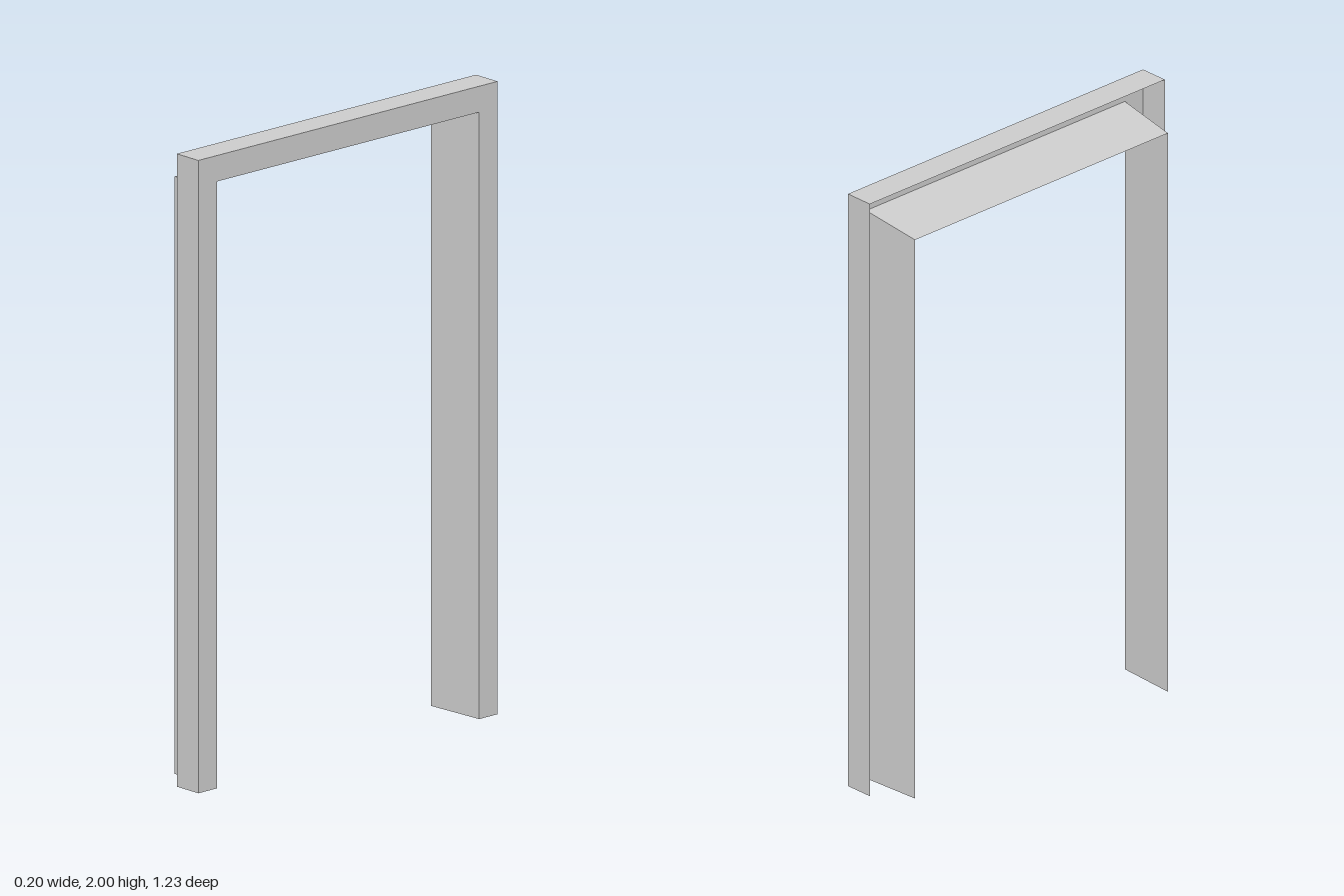
import * as THREE from 'three';

const material = new THREE.MeshStandardMaterial({ color: 0xcccccc, flatShading: true, side: THREE.DoubleSide });

// Outline of the doorway at depth x: up one leg, across the head, down the other
const arch = ({ x, w, h }) => [[x, 0, -w], [x, h, -w], [x, h, w], [x, 0, w]];

// Thin sheet spanning two arches
function archStrip(name, from, to) {
  const a = arch(from), b = arch(to), pos = [];
  for (let i = 0; i < 3; i++) {
    for (const p of [a[i], a[i + 1], b[i + 1], a[i], b[i + 1], b[i]]) pos.push(...p);
  }
  const geo = new THREE.BufferGeometry();
  geo.setAttribute('position', new THREE.Float32BufferAttribute(pos, 3));
  geo.computeVertexNormals();
  const mesh = new THREE.Mesh(geo, material);
  mesh.name = name;
  return mesh;
}

export function createModel() {
  const group = new THREE.Group();
  group.name = 'doorFrame';

  // Folded section of the frame: half width w, height h
  const returnEdge = { x: 0.005, w: 0.617, h: 2 };
  const outerEdge = { x: 0.101, w: 0.617, h: 2 };
  const innerEdge = { x: 0.101, w: 0.541, h: 1.918 };
  const jambEdge = { x: -0.101, w: 0.529, h: 1.887 };

  group.add(
    archStrip('casingReturn', returnEdge, outerEdge), // outer sides and top, open at the back
    archStrip('casingFace', outerEdge, innerEdge),    // flat trim around the opening
    archStrip('jambLining', innerEdge, jambEdge)      // tapered lining of the opening
  );
  return group;
}
